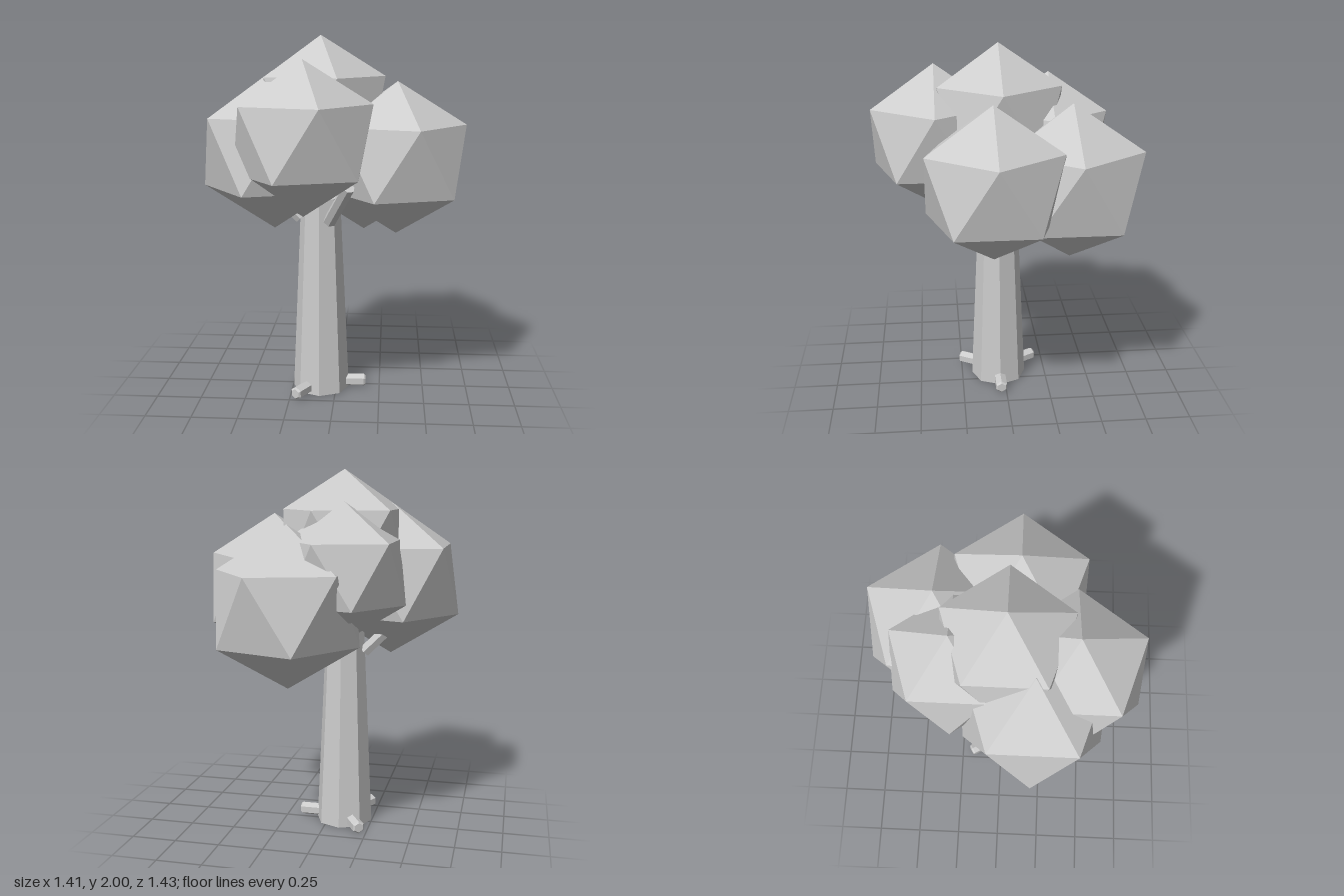
import * as THREE from 'three';

export function createModel() {
  const tree = new THREE.Group();
  tree.name = 'tree';
  const grey = new THREE.MeshStandardMaterial({ color: 0xcccccc });
  grey.name = 'paleGrey';

  const add = (name, geometry, parent = tree) => {
    const flat = geometry.index ? geometry.toNonIndexed() : geometry;
    flat.computeVertexNormals(); // faceted look
    const mesh = new THREE.Mesh(flat, grey);
    mesh.name = name;
    parent.add(mesh);
    return mesh;
  };

  // Trunk: tapered octagon; its axis is also the centre of roots and branches
  const cx = -0.087, cz = 0.03;
  add('trunk', new THREE.CylinderGeometry(0.109, 0.16, 1.12, 8)).position.set(cx, 0.56, cz);

  // Three short hexagonal roots with chamfered tips
  const r = 0.036, reach = 0.258;
  for (let i = 0; i < 3; i++) {
    const profile = [[0, 0.05], [r, 0.05], [r, reach - 0.01], [r - 0.009, reach], [0, reach]]
      .map(([x, y]) => new THREE.Vector2(x, y));
    const root = new THREE.LatheGeometry(profile, 6);
    root.rotateY(Math.PI / 6 + Math.PI / 3);
    root.rotateZ(-Math.PI / 2);
    root.rotateX(Math.PI / 2 + Math.PI / 6 + Math.PI / 3);
    root.rotateY(-i * Math.PI * 2 / 3);
    add('root' + (i + 1), root).position.set(cx, 0.038, cz);
  }

  // Three branches rising at 45 degrees, set between the roots
  for (let i = 0; i < 3; i++) {
    const branch = new THREE.CylinderGeometry(0.036, 0.036, 0.32, 6);
    branch.translate(0, 0.16, 0);
    branch.rotateZ(-Math.PI / 4);
    branch.translate(0.112, 1.0, 0);
    branch.rotateY(-(Math.PI / 3 + i * Math.PI * 2 / 3));
    add('branch' + (i + 1), branch).position.set(cx, 0, cz);
  }

  // Foliage: icosahedra standing on a corner, as x, y, z, radius
  const foliage = new THREE.Group();
  foliage.name = 'foliage';
  tree.add(foliage);
  const tilt = Math.atan(2 / (1 + Math.sqrt(5)));
  [
    ['topLeafClump', -0.083, 1.61, 0.027, 0.39],
    ['frontLeafClump', -0.15, 1.48, 0.372, 0.402],
    ['leftLeafClump', 0.332, 1.346, 0.083, 0.414],
    ['rightLeafClump', -0.326, 1.395, 0.17, 0.423],
    ['backLeftLeafClump', 0.142, 1.286, -0.351, 0.431],
    ['backRightLeafClump', -0.139, 1.467, -0.251, 0.364],
  ].forEach(([name, x, y, z, radius]) => {
    const clump = new THREE.IcosahedronGeometry(radius, 0).rotateZ(-tilt);
    add(name, clump, foliage).position.set(x, y, z);
  });

  return tree;
}
